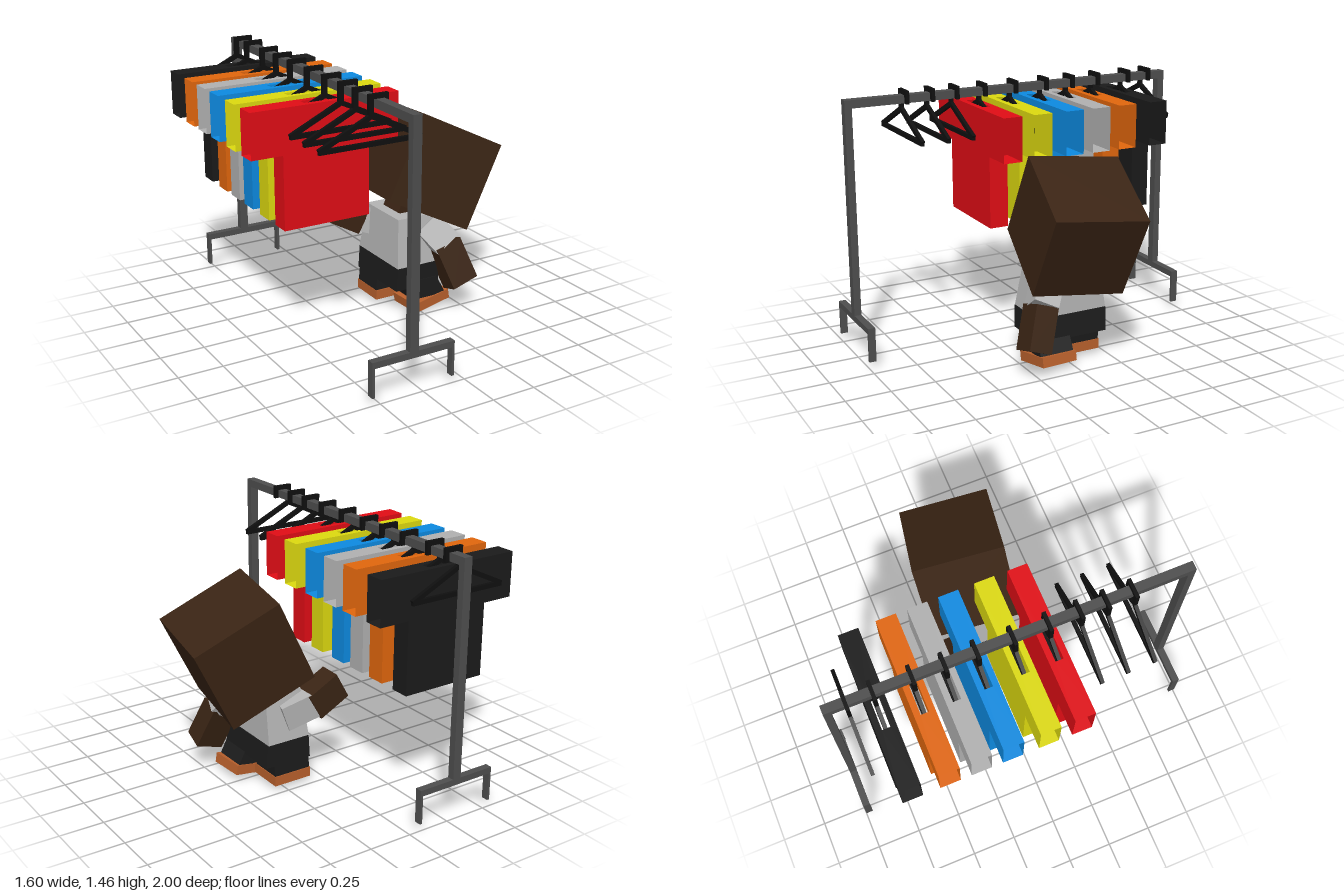
import * as THREE from 'three';

const mat = (color) => new THREE.MeshStandardMaterial({ color, flatShading: true, side: THREE.DoubleSide });
const steel = mat(0x4e4e4e), wire = mat(0x0f0f0f), skin = mat(0x3a2414);
const cloth = mat(0xb4b4b4), trousers = mat(0x1c1c1c), leather = mat(0xb8602c);
const V = (x, y, z) => new THREE.Vector3(x, y, z);

function add(parent, name, geometry, material, x = 0, y = 0, z = 0) {
  const mesh = new THREE.Mesh(geometry, material);
  mesh.name = name;
  mesh.position.set(x, y, z);
  parent.add(mesh);
  return mesh;
}

// Box given by its min and max corners
function block(parent, name, material, x0, x1, y0, y1, z0, z1) {
  return add(parent, name, new THREE.BoxGeometry(x1 - x0, y1 - y0, z1 - z0), material,
    (x0 + x1) / 2, (y0 + y1) / 2, (z0 + z1) / 2);
}

// Box whose top is scaled about its centre and shifted in x
function taper(parent, name, material, x0, x1, y0, y1, z0, z1, sx, sz, shift = 0) {
  const mesh = block(parent, name, material, x0, x1, y0, y1, z0, z1);
  const p = mesh.geometry.attributes.position;
  for (let i = 0; i < p.count; i++) {
    if (p.getY(i) > 0) p.setXYZ(i, p.getX(i) * sx + shift, p.getY(i), p.getZ(i) * sz);
  }
  mesh.geometry.computeVertexNormals();
  return mesh;
}

// Bar from a to b; w lies across in the x-y plane, d across that
function bar(parent, name, material, a, b, w, d) {
  const yAxis = b.clone().sub(a), length = yAxis.length();
  yAxis.normalize();
  const xAxis = yAxis.clone().cross(V(0, 0, 1)).normalize();
  const zAxis = xAxis.clone().cross(yAxis);
  const mesh = add(parent, name, new THREE.BoxGeometry(w, length, d), material);
  mesh.quaternion.setFromRotationMatrix(new THREE.Matrix4().makeBasis(xAxis, yAxis, zAxis));
  mesh.position.copy(a).add(b).multiplyScalar(0.5);
  return mesh;
}

function createRack() {
  const rack = new THREE.Group();
  rack.name = 'clothesRack';
  block(rack, 'rail', steel, -0.33, -0.28, 1.39, 1.435, -0.96, 0.96);
  for (const s of [-1, 1]) {
    const z0 = s * 0.98 - 0.02, z1 = s * 0.98 + 0.02;
    block(rack, 'post', steel, -0.33, -0.28, 0.23, 1.435, z0, z1);
    block(rack, 'footBar', steel, -0.545, -0.065, 0.195, 0.23, z0, z1);
    block(rack, 'footLeg', steel, -0.545, -0.53, 0.035, 0.195, z0, z1);
    block(rack, 'footLeg', steel, -0.08, -0.065, 0.035, 0.195, z0, z1);
  }
  return rack;
}

function createHanger(z) {
  const hanger = new THREE.Group();
  hanger.name = 'hanger';
  const t = 0.02;
  block(hanger, 'hangerBar', wire, -0.64, -0.06, 1.198, 1.222, -t / 2, t / 2);
  bar(hanger, 'hangerShoulder', wire, V(-0.64, 1.213, 0), V(-0.345, 1.352, 0), 0.025, t);
  bar(hanger, 'hangerShoulder', wire, V(-0.06, 1.213, 0), V(-0.355, 1.352, 0), 0.025, t);
  block(hanger, 'hookStem', wire, -0.365, -0.338, 1.34, 1.46, -t / 2, t / 2);
  block(hanger, 'hookTop', wire, -0.338, -0.255, 1.435, 1.46, -t / 2, t / 2);
  block(hanger, 'hookTip', wire, -0.278, -0.255, 1.388, 1.435, -t / 2, t / 2);
  hanger.position.z = z;
  return hanger;
}

// Hollow shirt, open at neck, cuffs and hem
function createShirt(color, z) {
  const shirt = new THREE.Group();
  shirt.name = 'shirt';
  const m = mat(color), d = 0.11, arm = 0.433, half = 0.253;
  const hem = 0.67, cuff = 1.08, top = 1.33;
  const outline = new THREE.Shape([[-half, hem], [half, hem], [half, cuff], [arm, cuff],
    [arm, top], [-arm, top], [-arm, cuff], [-half, cuff]].map(([x, y]) => new THREE.Vector2(x, y)));
  add(shirt, 'frontPanel', new THREE.ShapeGeometry(outline), m, 0, 0, d / 2);
  add(shirt, 'backPanel', new THREE.ShapeGeometry(outline), m, 0, 0, -d / 2).scale.x = -1;
  shirt.children[1].rotation.y = Math.PI;
  shirt.children[1].scale.x = 1;

  const rect = (w, h) => [[-w, -h], [w, -h], [w, h], [-w, h]].map(([x, y]) => new THREE.Vector2(x, y));
  const shoulders = new THREE.Shape(rect(arm, d / 2));
  shoulders.holes.push(new THREE.Path(rect(0.112, 0.022).reverse()));
  add(shirt, 'shoulders', new THREE.ShapeGeometry(shoulders), m, 0, top, 0).rotation.x = -Math.PI / 2;
  for (const s of [-1, 1]) {
    add(shirt, 'sleeveUnderside', new THREE.PlaneGeometry(arm - half, d), m,
      s * (arm + half) / 2, cuff, 0).rotation.x = Math.PI / 2;
    add(shirt, 'sidePanel', new THREE.PlaneGeometry(d, cuff - hem), m,
      s * half, (cuff + hem) / 2, 0).rotation.y = s * Math.PI / 2;
  }
  shirt.position.set(-0.367, 0, z);
  return shirt;
}

// Blocky shopper facing the rack (-x)
function createFigure() {
  const figure = new THREE.Group();
  figure.name = 'shopper';

  // Tilted cube head
  const head = add(figure, 'head', new THREE.BoxGeometry(0.52, 0.515, 0.51), skin, 0.416, 0.798, -0.003);
  const u = V(0.463, -0.228, 0.087).normalize();
  const n = V(-0.067, 0.045, 0.504);
  const v = n.clone().cross(u).normalize();
  head.quaternion.setFromRotationMatrix(new THREE.Matrix4().makeBasis(u, v, u.clone().cross(v)));
  bar(figure, 'neck', skin, V(0.24, 0.54, -0.01), V(0.28, 0.63, -0.01), 0.13, 0.16);

  // Torso and hips
  taper(figure, 'torso', cloth, 0.1, 0.36, 0.284, 0.56, -0.225, 0.2, 0.87, 0.8, 0.01);
  taper(figure, 'hips', trousers, 0.09, 0.375, 0.15, 0.284, -0.222, 0.2, 0.93, 1.01);

  // Legs and shoes, the +z heel lifted
  taper(figure, 'leg', trousers, 0.085, 0.31, 0.07, 0.17, -0.21, -0.012, 1, 1, 0.01);
  taper(figure, 'leg', trousers, 0.2, 0.42, 0.075, 0.19, 0.005, 0.205, 0.9, 1, -0.05);
  block(figure, 'shoe', leather, 0.083, 0.315, 0.022, 0.078, -0.215, -0.005);
  const shoe = block(figure, 'shoe', leather, 0.2, 0.44, 0.016, 0.072, 0.003, 0.215);
  shoe.rotation.set(0, 0.06, 0.17);

  // Hanging arm
  bar(figure, 'sleeve', cloth, V(0.33, 0.49, 0.12), V(0.415, 0.37, 0.205), 0.165, 0.14);
  bar(figure, 'forearm', skin, V(0.405, 0.38, 0.2), V(0.475, 0.155, 0.28), 0.165, 0.13);

  // Arm reaching to the rack
  bar(figure, 'sleeve', cloth, V(0.24, 0.42, -0.17), V(0.07, 0.48, -0.215), 0.15, 0.125);
  bar(figure, 'forearm', skin, V(0.09, 0.463, -0.212), V(-0.085, 0.56, -0.218), 0.165, 0.135);
  return figure;
}

export function createModel() {
  const model = new THREE.Group();
  model.name = 'clothesRackScene';
  model.add(createRack());
  for (const z of [0.655, 0.505, 0.36, 0.19, 0, -0.195, -0.365, -0.535, -0.74, -0.88]) {
    model.add(createHanger(z));
  }
  const shirts = [[0xe00d15, 0.187], [0xdcd90f, 0.003], [0x0d8ae0, -0.195],
    [0xb0b0b0, -0.365], [0xe0660d, -0.535], [0x1a1a1a, -0.738]];
  for (const [color, z] of shirts) model.add(createShirt(color, z));
  model.add(createFigure());
  return model;
}
